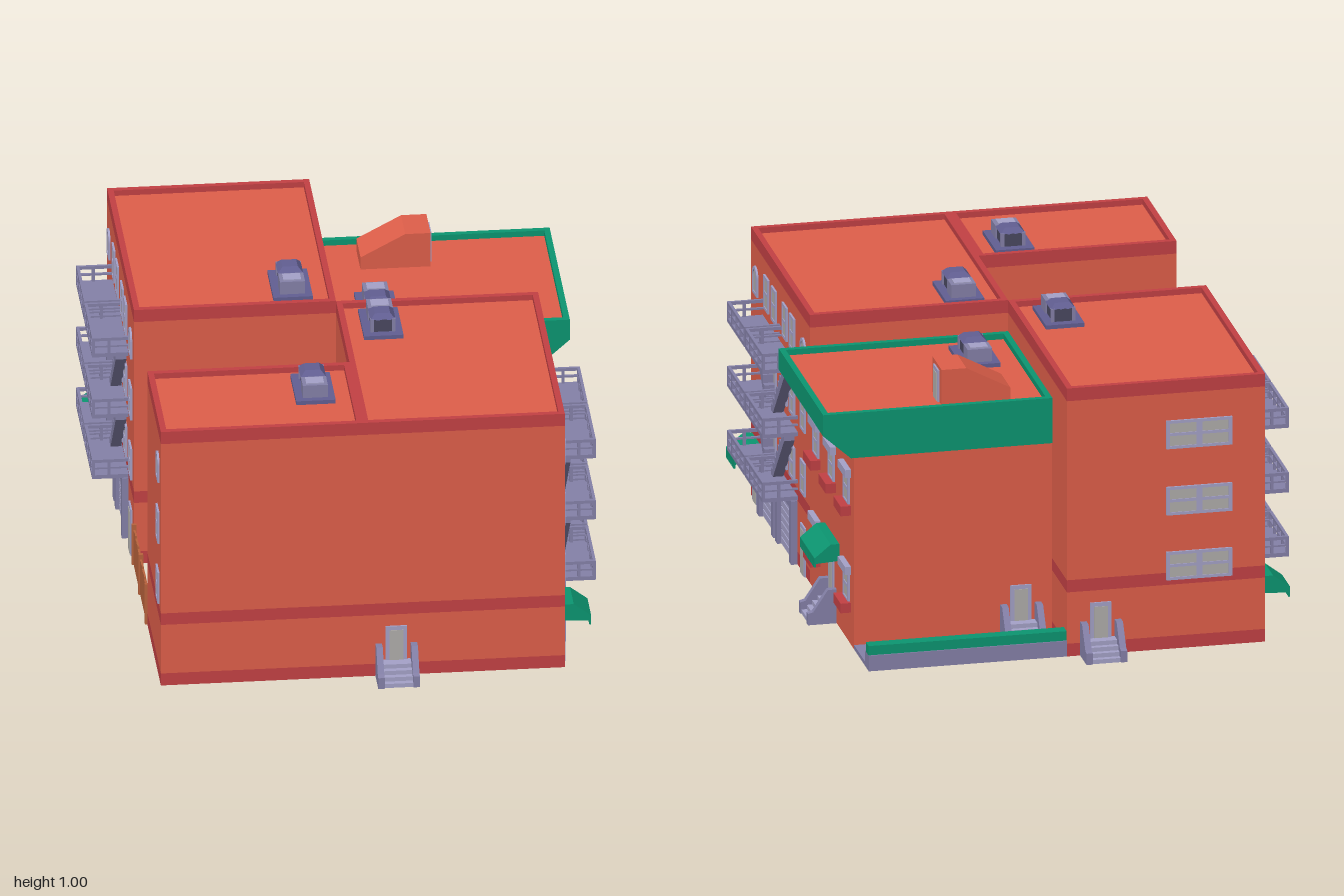
import * as THREE from 'three';

const mat = (color) => new THREE.MeshStandardMaterial({ color, flatShading: true });
const M = {
  wall: mat(0xdf5f4a), red: mat(0xc34144), grey: mat(0x8581a8), pale: mat(0xa5a2c8), glass: mat(0xb0adab),
  dark: mat(0x4a4860), plate: mat(0x625f92), green: mat(0x0c9671), wood: mat(0xb9633d),
};
const W = 0.678; // half width of the block

function add(parent, name, geo, m) {
  const mesh = new THREE.Mesh(geo, m);
  mesh.name = name;
  parent.add(mesh);
  return mesh;
}
// box given by its limits
function box(parent, name, m, x0, x1, y0, y1, z0, z1) {
  const g = new THREE.BoxGeometry(x1 - x0, y1 - y0, z1 - z0);
  g.translate((x0 + x1) / 2, (y0 + y1) / 2, (z0 + z1) / 2);
  return add(parent, name, g, m);
}
const poly = (pts) => new THREE.Shape(pts.map((p) => new THREE.Vector2(p[0], p[1])));
// side profile (outward z, y) swept across x0..x1
function sweep(parent, name, m, pts, x0, x1) {
  const g = new THREE.ExtrudeGeometry(poly(pts), { depth: x1 - x0, bevelEnabled: false });
  g.rotateY(-Math.PI / 2).translate(x1, 0, 0);
  return add(parent, name, g, m);
}
// rectangular ring lying flat
function ring(parent, name, m, x0, x1, y0, y1, z0, z1, t) {
  const s = poly([[x0, -z0], [x0, -z1], [x1, -z1], [x1, -z0]]);
  s.holes.push(poly([[x0 + t, -z0 - t], [x1 - t, -z0 - t], [x1 - t, -z1 + t], [x0 + t, -z1 + t]]));
  const g = new THREE.ExtrudeGeometry(s, { depth: y1 - y0, bevelEnabled: false });
  g.rotateX(-Math.PI / 2).translate(0, y0, 0);
  return add(parent, name, g, m);
}
// group whose local +z points out of a wall
function facade(parent, name, x, z, turn) {
  const g = new THREE.Group();
  g.name = name;
  g.position.set(x, 0, z);
  g.rotation.y = turn;
  parent.add(g);
  return g;
}

function tower(parent, name, x0, x1, z0, z1) {
  const g = new THREE.Group();
  g.name = name;
  parent.add(g);
  const layers = [[0, 0.045, 'red'], [0.045, 0.227, 'wall'], [0.227, 0.27, 'red'], [0.27, 0.905, 'wall']];
  for (const [a, b, m] of layers) box(g, m === 'red' ? 'wallBand' : 'wall', M[m], x0, x1, a, b, z0, z1);
  box(g, 'roof', M.wall, x0 + 0.01, x1 - 0.01, 0.9, 0.93, z0 + 0.01, z1 - 0.01);
  ring(g, 'parapet', M.red, x0, x1, 0.905, 0.95, z0, z1, 0.02);
}

function sashWindow(p, x, y0, y1, w = 0.07) {
  const a = x - w / 2, b = x + w / 2, mid = (y0 + y1) / 2;
  box(p, 'windowGlass', M.glass, a + 0.01, b - 0.01, y0, y1 - 0.01, 0, 0.004);
  for (const [l, r] of [[a, a + 0.012], [b - 0.012, b]]) box(p, 'windowJamb', M.pale, l, r, y0, y1, 0, 0.007);
  for (const y of [y0, mid - 0.004, y1 - 0.01]) box(p, 'windowRail', M.pale, a, b, y, y + 0.01, 0, 0.007);
}
function archWindow(p, x, y0, y1) {
  const arch = (r, low) => {
    const s = new THREE.Shape();
    s.moveTo(-r, low).lineTo(r, low).lineTo(r, y1 - 0.035);
    s.absarc(0, y1 - 0.035, r, 0, Math.PI, false);
    return s;
  };
  const frame = arch(0.035, y0);
  frame.holes.push(arch(0.023, y0 + 0.01));
  const opt = (depth) => ({ depth, bevelEnabled: false, curveSegments: 8 });
  add(p, 'archFrame', new THREE.ExtrudeGeometry(frame, opt(0.007)), M.pale).position.x = x;
  add(p, 'archGlass', new THREE.ExtrudeGeometry(arch(0.024, y0), opt(0.004)), M.glass).position.x = x;
}
function door(p, x, y0, y1) {
  box(p, 'doorFrame', M.pale, x - 0.036, x + 0.036, y0, y1, 0, 0.006);
  box(p, 'doorPanel', M.glass, x - 0.023, x + 0.023, y0, y1 - 0.014, 0, 0.008);
}
// entrance steps between two sloping cheek walls, with a door above
function stoop(p, x, top = 0.185) {
  door(p, x, 0.03, top);
  for (let i = 0; i < 4; i++) box(p, 'step', M.pale, x - 0.05, x + 0.05, 0, 0.06 - i * 0.015, 0, 0.04 + i * 0.018);
  const cheek = [[0, 0], [0.098, 0], [0.098, 0.04], [0.08, 0.045], [0.03, 0.12], [0, 0.12]];
  for (const a of [x - 0.07, x + 0.048]) sweep(p, 'stepCheek', M.grey, cheek, a, a + 0.022);
}
function awning(p, x, w, top, out, drop) {
  sweep(p, 'awning', M.green, [[0, top - drop + 0.02], [out, top - drop + 0.015], [out, top - drop + 0.035], [out * 0.35, top], [0, top]], x - w / 2, x + w / 2);
  const n = 9, s = w / n;
  for (let i = 0; i < n; i++) {
    const a = x - w / 2 + i * s;
    box(p, 'awningFringe', M.green, a, a + s * 0.7, top - drop, top - drop + 0.016, out - 0.006, out);
  }
}

function garage(p, a, b) {
  for (const [l, r] of [[a, a + 0.036], [b - 0.036, b]]) box(p, 'garagePost', M.grey, l, r, 0, 0.225, 0, 0.022);
  box(p, 'garageLintel', M.grey, a, b, 0.195, 0.225, 0, 0.022);
  box(p, 'garageDoor', M.dark, a + 0.03, b - 0.03, 0, 0.2, 0, 0.006);
  for (let i = 0; i < 7; i++) box(p, 'garageSlat', M.pale, a + 0.04, b - 0.04, 0.005 + i * 0.027, 0.027 + i * 0.027, 0, 0.01);
}
// one stack of landings; dir points from the middle of the facade outwards
function fireEscape(p, inner, dir) {
  const outer = inner + dir * 0.263, a = Math.min(inner, outer), b = Math.max(inner, outer), D = 0.122;
  const levels = [0.23, 0.457, 0.686];
  for (const y of levels) {
    box(p, 'landing', M.grey, a, b, y, y + 0.014, 0, D);
    for (const h of [0.036, 0.06]) {
      const t = h > 0.05 ? 0.011 : 0.006;
      box(p, 'frontRail', M.grey, a, b, y + h, y + h + t, D - 0.01, D);
      for (const x of [a, b - 0.01]) box(p, 'endRail', M.grey, x, x + 0.01, y + h, y + h + t, 0, D);
    }
    for (let i = 0; i < 5; i++) {
      const x = a + i * (b - a - 0.01) / 4;
      box(p, 'railPost', M.grey, x, x + 0.01, y, y + 0.07, D - 0.01, D);
    }
    for (const x of [a, b - 0.01]) box(p, 'railPost', M.grey, x, x + 0.01, y, y + 0.07, 0.06, 0.07);
  }
  // saw-tooth flights between the landings
  const n = 8, run = 0.2 / n, rise = 0.229 / n;
  for (const y of levels.slice(0, 2)) {
    const pts = [];
    for (let i = 0; i < n; i++) pts.push([i * run, (i + 1) * rise], [(i + 1) * run, (i + 1) * rise]);
    pts.push([n * run, (n - 1) * rise - 0.01], [run, 0], [0, 0]);
    const shape = poly(pts.map(([u, v]) => [inner + dir * (0.03 + u), y + 0.01 + v]));
    const g = new THREE.ExtrudeGeometry(shape, { depth: 0.036, bevelEnabled: false });
    add(p, 'stairFlight', g.translate(0, 0, 0.004), M.grey);
  }
}
// street side with windows, garages, awning and fire escapes
function streetSide(p) {
  for (const [y0, y1] of [[0.283, 0.4], [0.508, 0.627], [0.737, 0.857]]) {
    for (const u of [-0.65, -0.535, -0.37, -0.258]) sashWindow(p, u, y0, y1);
    for (const u of [-0.82, -0.092]) (y0 > 0.7 ? archWindow : sashWindow)(p, u, y0, y1 - (y0 > 0.7 ? 0.02 : 0));
  }
  door(p, -0.82, 0, 0.17);
  door(p, -0.092, 0, 0.172);
  awning(p, -0.82, 0.126, 0.226, 0.09, 0.08);
  garage(p, -0.715, -0.462);
  garage(p, -0.437, -0.187);
  fireEscape(p, -0.457, -1);
  fireEscape(p, -0.445, 1);
}

function roofUnit(parent, x, y, z, dir) {
  const g = new THREE.Group();
  g.name = 'roofUnit';
  g.position.set(x, y, z);
  if (dir < 0) g.rotation.y = Math.PI;
  parent.add(g);
  box(g, 'unitBase', M.plate, -0.066, 0.066, 0, 0.014, -0.102, 0.102);
  box(g, 'unitBox', M.grey, -0.042, 0.042, 0, 0.06, -0.08, -0.015);
  box(g, 'unitLid', M.pale, -0.03, 0.03, 0.06, 0.064, -0.07, -0.025);
  box(g, 'unitVent', M.dark, -0.036, 0.036, 0, 0.058, -0.015, 0.072);
  const cap = new THREE.CylinderGeometry(0.036, 0.06, 0.018, 4, 1).rotateY(Math.PI / 4);
  add(g, 'ventCap', cap.translate(0, 0.066, 0.03), M.plate);
  for (const s of [-1, 1]) box(g, 'ventPost', M.grey, s * 0.036 - 0.006, s * 0.036 + 0.006, 0, 0.06, 0.06, 0.074);
}

export function createModel() {
  const root = new THREE.Group();
  root.name = 'cityBlock';
  const H = Math.PI / 2;

  // three tall brick buildings
  tower(root, 'frontRightBuilding', 0, W, 0, 0.9);
  tower(root, 'frontLeftBuilding', -W, 0, 0.45, 0.9);
  tower(root, 'backLeftBuilding', -W, 0, -0.9, 0);

  // lower building with overhanging cornice
  box(root, 'shopWall', M.wall, 0, W, 0, 0.69, -0.675, 0);
  const eave = new THREE.ExtrudeGeometry(poly([[0, 0.68], [0.69, 0.68], [0.785, 0.765], [0, 0.765]]), { depth: 0.68, bevelEnabled: false });
  add(root, 'corniceSlope', eave.translate(0, 0, -0.68), M.green);
  ring(root, 'corniceRim', M.green, 0, 0.785, 0.765, 0.84, -0.68, 0, 0.02);
  box(root, 'shopRoof', M.wall, 0.01, 0.775, 0.76, 0.82, -0.67, -0.01);

  // roof stair hut
  const hut = new THREE.ExtrudeGeometry(poly([[0.13, 0.81], [0.365, 0.81], [0.365, 0.945], [0.28, 0.945], [0.13, 0.865]]), { depth: 0.14, bevelEnabled: false });
  add(root, 'roofHut', hut.translate(0, 0, -0.615), M.wall);
  door(facade(root, 'hutDoor', 0.365, -0.545, H), 0, 0.82, 0.932);

  // street sides, the left one turned half round
  streetSide(facade(root, 'rightStreetSide', W, 0, H));
  streetSide(facade(root, 'leftStreetSide', -W, 0, -H));
  const sideWall = facade(root, 'frontLeftSide', -W, 0, -H);
  for (const [y0, y1] of [[0.283, 0.4], [0.508, 0.627]]) sashWindow(sideWall, 0.82, y0, y1);
  archWindow(sideWall, 0.82, 0.737, 0.837);

  // shop front
  const shop = facade(root, 'shopFront', W, 0, H);
  for (const [u, y] of [[0.107, 0.113], [0.57, 0.113], [0.107, 0.457], [0.34, 0.457], [0.57, 0.457]]) {
    sashWindow(shop, u, y + 0.03, y + 0.14, 0.08);
    box(shop, 'lintel', M.pale, u - 0.058, u + 0.058, y + 0.135, y + 0.163, 0, 0.02);
    box(shop, 'windowPlanter', M.red, u - 0.056, u + 0.056, y, y + 0.034, 0, 0.035);
  }
  stoop(shop, 0.34, 0.225);
  awning(shop, 0.34, 0.22, 0.295, 0.085, 0.08);

  // other entrances
  stoop(facade(root, 'frontEntrance', 0.112, 0.9, 0), 0);
  stoop(facade(root, 'backEntrance', -0.115, -0.9, Math.PI), 0);
  stoop(facade(root, 'terraceEntrance', 0.108, -0.675, Math.PI), 0);
  stoop(facade(root, 'yardEntrance', -0.115, 0.45, Math.PI), 0);
  stoop(facade(root, 'yardSideEntrance', 0, 0.11, -H), 0);

  // wide windows in the back wall
  const back = facade(root, 'backWindows', -0.452, -0.9, Math.PI);
  for (const y of [0.295, 0.525, 0.76]) for (const s of [-1, 1]) sashWindow(back, s * 0.055, y - 0.05, y + 0.05, 0.115);

  // terrace with low capped wall
  box(root, 'terraceFloor', M.grey, 0, W, 0, 0.015, -0.9, -0.675);
  box(root, 'terraceWall', M.grey, 0, W, 0, 0.055, -0.9, -0.845);
  box(root, 'terraceHedge', M.green, 0, W, 0.055, 0.088, -0.895, -0.853);

  // yard fence
  for (let i = 0; i < 18; i++) {
    box(root, 'fenceBoard', M.wood, -0.681, -0.675, 0.005, 0.132 + (i % 3) * 0.004, i * 0.025 + 0.001, i * 0.025 + 0.0235);
  }
  for (const y of [0.03, 0.1]) box(root, 'fenceRail', M.wood, -0.675, -0.67, y, y + 0.012, 0, 0.45);
  for (const z of [0.006, 0.225, 0.444]) box(root, 'fencePost', M.wood, -0.686, -0.67, 0, 0.15, z - 0.006, z + 0.006);

  // rooftop machinery
  roofUnit(root, -0.138, 0.93, -0.157, -1);
  roofUnit(root, 0.155, 0.82, -0.183, 1);
  roofUnit(root, 0.135, 0.93, 0.155, 1);
  roofUnit(root, -0.138, 0.93, 0.607, -1);
  return root;
}
